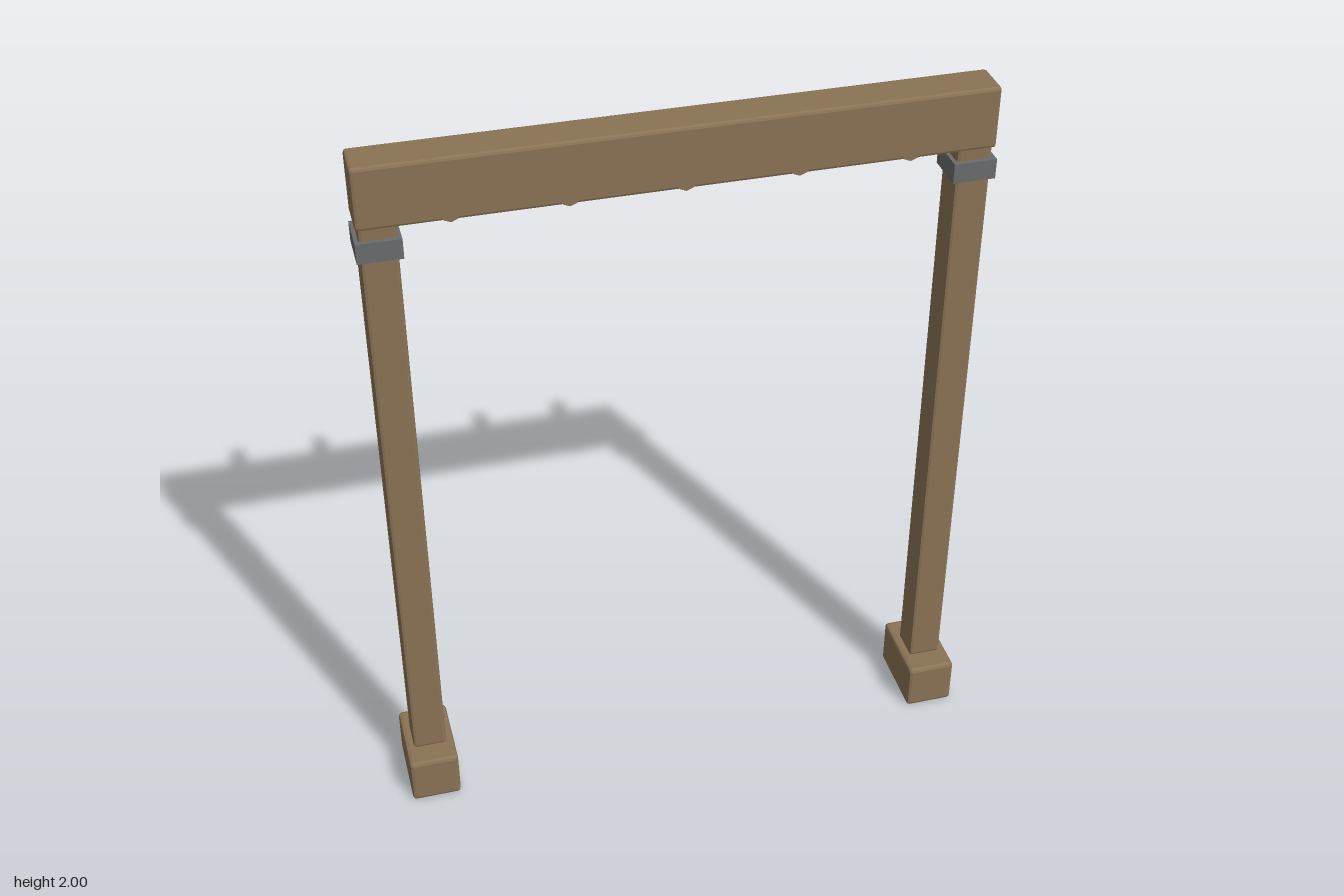
import * as THREE from 'three';
import { RoundedBoxGeometry } from 'three/addons/geometries/RoundedBoxGeometry.js';

export function createModel() {
  const model = new THREE.Group();
  const wood = new THREE.MeshStandardMaterial({ name: 'wood', color: 0x8b7355 });
  const metal = new THREE.MeshStandardMaterial({ name: 'metal', color: 0x6a6b6e });

  const add = (name, geometry, material, x, y, z) => {
    const mesh = new THREE.Mesh(geometry, material);
    mesh.name = name;
    mesh.position.set(x, y, z);
    model.add(mesh);
  };

  // Box with flat chamfered edges
  const chamferBox = (w, h, d, bevel) => {
    const g = new RoundedBoxGeometry(w, h, d, 1, bevel);
    g.computeVertexNormals();
    return g;
  };

  const beamZ = 0.055;

  // Crossbeam
  add('crossbeam', chamferBox(1.59, 0.165, 0.11, 0.008), wood, 0, 1.9175, beamZ);

  // Feet, posts and metal straps on both sides
  for (const [side, s] of [['right', -1], ['left', 1]]) {
    const x = s * 0.743;
    add(side + 'Foot', chamferBox(0.137, 0.14, 0.223, 0.01), wood, x, 0.07, beamZ);
    add(side + 'Post', chamferBox(0.092, 1.705, 0.092, 0.008), wood, x, 0.9915, beamZ);
    add(side + 'Strap', new THREE.BoxGeometry(0.112, 0.054, 0.114), metal, x, 1.777, beamZ);
  }

  // Row of pegs running through the beam and out of the back
  const pegGeometry = new THREE.CylinderGeometry(0.025, 0.025, 0.28, 8).toNonIndexed();
  pegGeometry.computeVertexNormals();
  pegGeometry.rotateX(Math.PI / 2);
  for (let i = 0; i < 5; i++) {
    add('peg' + (i + 1), pegGeometry, wood, (i - 2) * 0.285, 1.855, -0.03);
  }

  return model;
}
